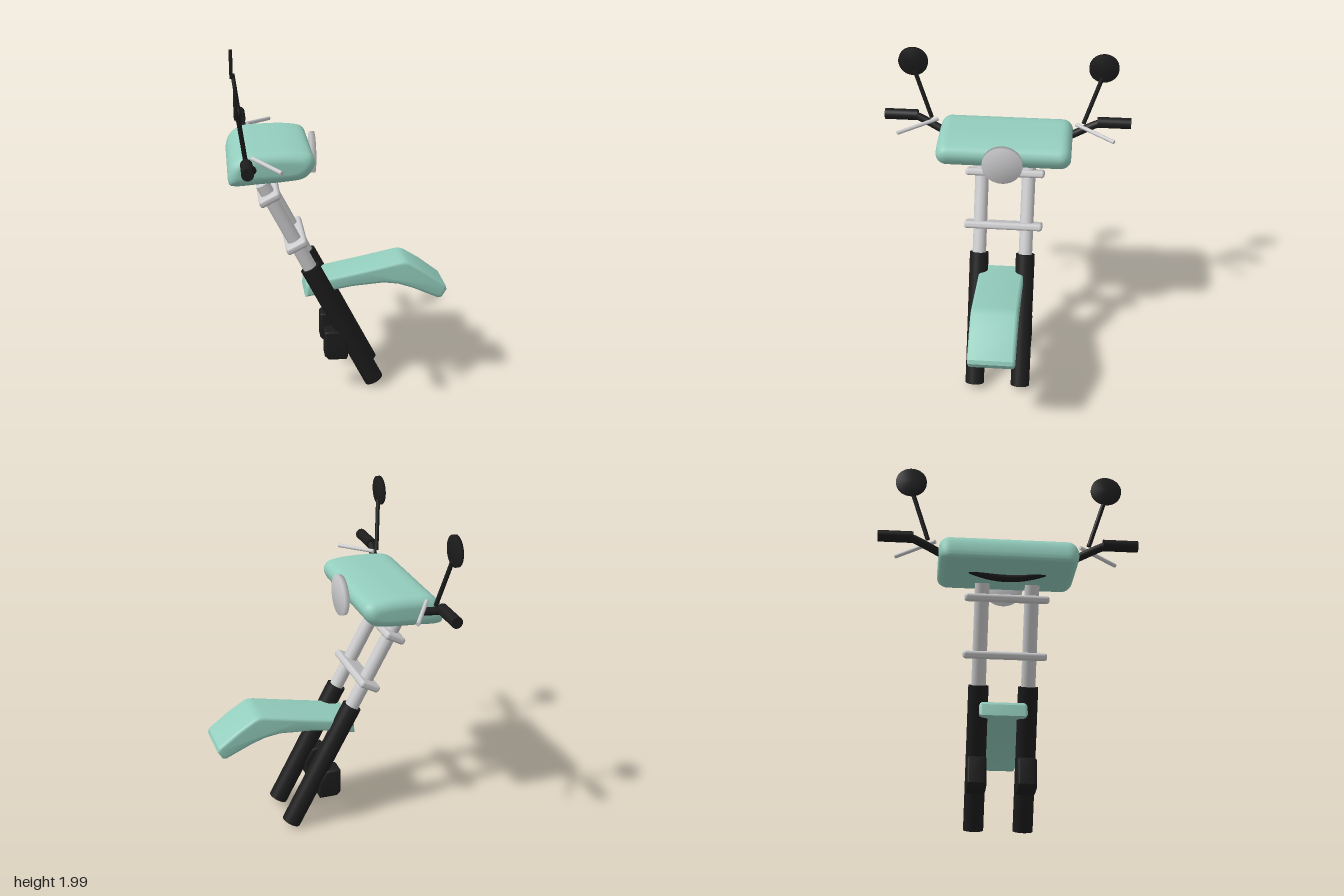
import * as THREE from 'three';
import { mergeVertices, toCreasedNormals } from 'three/addons/utils/BufferGeometryUtils.js';
import { RoundedBoxGeometry } from 'three/addons/geometries/RoundedBoxGeometry.js';

const V = (x, y, z) => new THREE.Vector3(x, y, z);

const paint = (name, color) => {
  const m = new THREE.MeshStandardMaterial({ color });
  m.name = name;
  return m;
};

// Weld shared corners, dropping uv and normals
function weld(geo) {
  geo.deleteAttribute('uv');
  geo.deleteAttribute('normal');
  return mergeVertices(geo, 1e-4);
}

// Side profile extruded across z with a rounded edge
function bevelled(points, width, bevel) {
  const shape = new THREE.Shape(points.map(([x, y]) => new THREE.Vector2(x, y)));
  const geo = new THREE.ExtrudeGeometry(shape, {
    depth: width - 2 * bevel, bevelThickness: bevel, bevelSize: bevel,
    bevelOffset: -bevel, bevelSegments: 4,
  });
  geo.translate(0, 0, bevel - width / 2);
  return toCreasedNormals(weld(geo), 0.5);
}

// Smooth closed profile, extruded and pulled in towards both ends
function pillow(points, half, radius) {
  const curve = new THREE.CatmullRomCurve3(points.map(([x, y]) => V(x, y, 0)), true, 'centripetal');
  const shape = new THREE.Shape(curve.getPoints(72).slice(0, -1).map((p) => new THREE.Vector2(p.x, p.y)));
  let geo = new THREE.ExtrudeGeometry(shape, { depth: 2, steps: 48, bevelEnabled: false });
  geo = weld(geo);
  geo.computeBoundingBox();
  const c = geo.boundingBox.getCenter(V(0, 0, 0));
  const s = geo.boundingBox.getSize(V(0, 0, 0)).multiplyScalar(0.5);
  const pos = geo.attributes.position;
  for (let i = 0; i < pos.count; i++) {
    const z = half * Math.sin((pos.getZ(i) - 1) * Math.PI / 2);
    const d = Math.min(1, Math.max(0, Math.abs(z) - half + radius) / radius);
    const inset = radius * (1 - Math.sqrt(1 - d * d));
    pos.setXYZ(i,
      c.x + (pos.getX(i) - c.x) * (1 - inset / s.x),
      c.y + (pos.getY(i) - c.y) * (1 - inset / s.y), z);
  }
  return toCreasedNormals(geo, 0.7);
}

// Round bar between two points
function rod(a, b, radius) {
  const dir = b.clone().sub(a);
  const geo = new THREE.CylinderGeometry(radius, radius, dir.length(), 32);
  geo.applyQuaternion(new THREE.Quaternion().setFromUnitVectors(V(0, 1, 0), dir.normalize()));
  const mid = a.clone().add(b).multiplyScalar(0.5);
  return geo.translate(mid.x, mid.y, mid.z);
}

// Disc facing along x with softly blended normals
function softDisc(radius, thickness) {
  const geo = weld(new THREE.CylinderGeometry(radius, radius, thickness, 48));
  geo.computeVertexNormals();
  return geo.rotateZ(-Math.PI / 2);
}

export function createModel() {
  const green = paint('mint green', 0x93cdbd);
  const black = paint('black', 0x1c1c1c);
  const silver = paint('silver', 0xcbcbcd);

  const group = new THREE.Group();
  const add = (name, geo, mat) => {
    const mesh = new THREE.Mesh(geo, mat);
    mesh.name = name;
    group.add(mesh);
    return mesh;
  };

  // Front cowl
  add('cowl', pillow([
    [-0.655, 1.392], [-0.664, 1.43], [-0.645, 1.505], [-0.58, 1.562], [-0.45, 1.577],
    [-0.27, 1.575], [-0.19, 1.555], [-0.168, 1.515], [-0.185, 1.46], [-0.235, 1.418],
    [-0.33, 1.402], [-0.5, 1.39], [-0.63, 1.383],
  ], 0.41, 0.065), green);

  // Headlight
  add('headlight', softDisc(0.123, 0.03), silver).position.set(-0.154, 1.478, 0);

  // Fender with a kinked tail
  add('fender', bevelled([
    [-0.213, 0.598], [-0.14, 0.61], [-0.05, 0.635], [0.08, 0.657], [0.27, 0.672],
    [0.36, 0.66], [0.45, 0.63], [0.61, 0.558], [0.635, 0.562], [0.665, 0.612],
    [0.657, 0.638], [0.53, 0.735], [0.43, 0.797], [0.4, 0.806], [0.37, 0.803],
    [0.15, 0.757], [-0.1, 0.708], [-0.19, 0.69], [-0.205, 0.67],
  ], 0.285, 0.02), green);

  // Fork legs, stanchions and calipers
  const tilt = 0.479;
  const foot = V(0.212, 0.035, 0);
  const along = (t, z) => V(foot.x - Math.sin(tilt) * t, foot.y + Math.cos(tilt) * t, z);
  for (const side of [1, -1]) {
    const label = side > 0 ? 'left' : 'right';
    const z = 0.147 * side;
    add(label + 'ForkLeg', rod(along(0, z), along(0.86, z), 0.06), black);
    add(label + 'ForkTube', rod(along(0.8, z), along(1.46, z), 0.043), silver);
    add(label + 'Caliper', bevelled([
      [-0.1, 0.225], [-0.075, 0.2], [0.035, 0.2], [0.045, 0.22], [0.045, 0.3],
      [0.0, 0.38], [-0.02, 0.388], [-0.09, 0.388], [-0.1, 0.378],
    ], 0.115, 0.015), black).position.z = z;

    // Grip, lever and mirror
    add(label + 'Grip', rod(V(-0.563, 1.562, 0.56 * side), V(-0.563, 1.562, 0.767 * side), 0.034), black);
    add(label + 'Lever', rod(V(-0.525, 1.562, 0.43 * side), V(-0.375, 1.537, 0.665 * side), 0.012), silver);
    add(label + 'MirrorStem', rod(V(-0.563, 1.55, 0.475 * side), V(-0.604, 1.85, 0.575 * side), 0.013), black);
    add(label + 'Mirror', softDisc(0.091, 0.02), black).position.set(-0.613, 1.909, 0.583 * side);
  }

  // Triple clamps
  for (const [name, t] of [['upperClamp', 1.375], ['lowerClamp', 1.04]]) {
    const clamp = add(name, new RoundedBoxGeometry(0.135, 0.046, 0.495, 4, 0.018), silver);
    clamp.position.copy(along(t, 0));
    clamp.rotation.z = tilt;
  }

  // Handlebar passing under the cowl
  const half = [V(-0.563, 1.56, 0.58), V(-0.557, 1.545, 0.54), V(-0.525, 1.485, 0.4), V(-0.465, 1.405, 0.19)];
  const path = [...half, V(-0.443, 1.382, 0), ...half.map((p) => V(p.x, p.y, -p.z)).reverse()];
  add('handlebar', new THREE.TubeGeometry(new THREE.CatmullRomCurve3(path), 64, 0.024, 16), black);

  return group;
}
